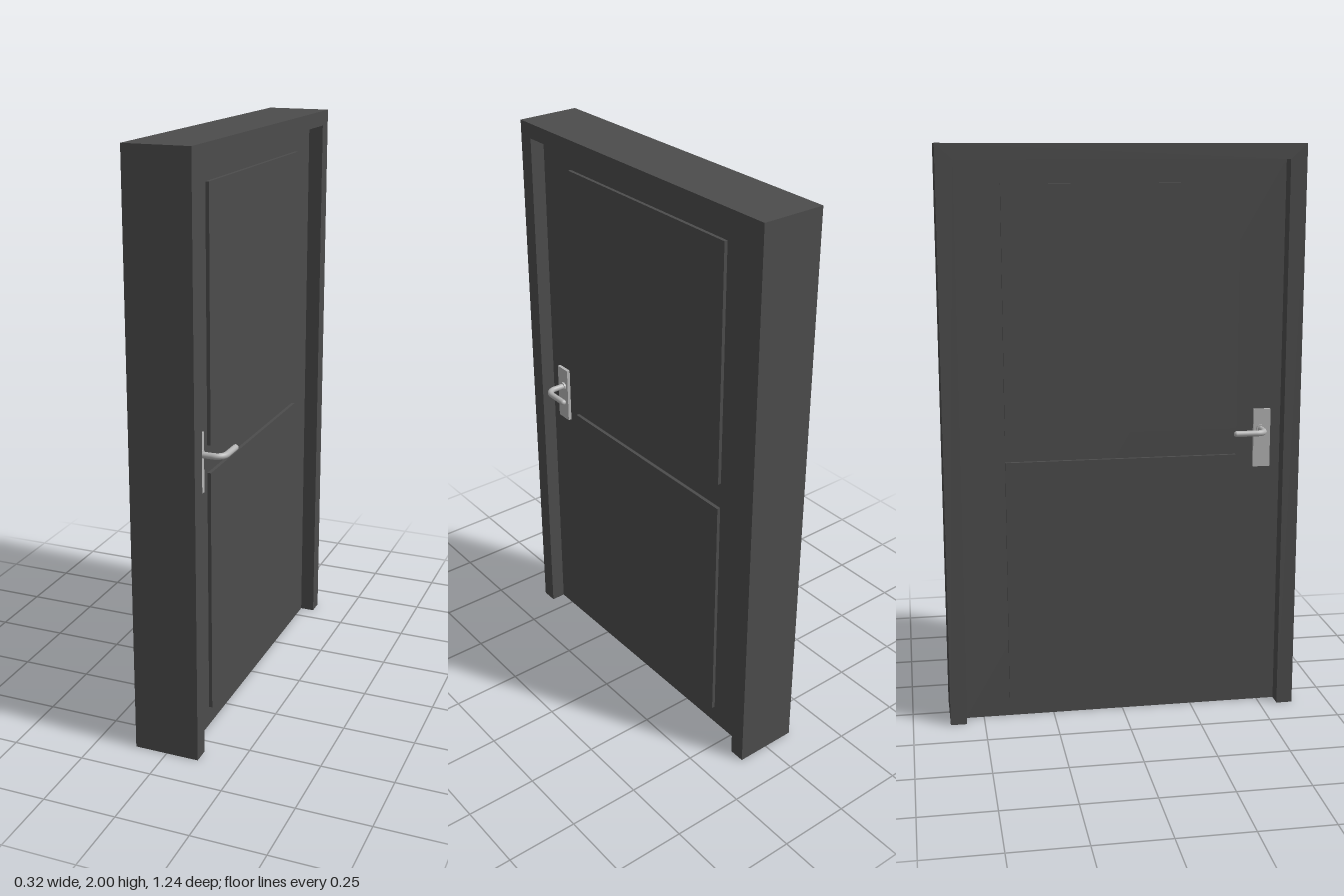
import * as THREE from 'three';

const doorPaint = new THREE.MeshStandardMaterial({ color: 0x4c4c4c });
doorPaint.name = 'dark grey paint';
const metal = new THREE.MeshStandardMaterial({ color: 0xb4b4b4 });
metal.name = 'brushed metal';

const HALF_W = 0.62, DEPTH = 0.225, JAMB = 0.057, HEADER = 0.052;
const FACE = 0.061; // distance of each door face from the centre plane

function add(parent, name, geometry, material, x = 0, y = 0, z = 0) {
  const mesh = new THREE.Mesh(geometry, material);
  mesh.name = name;
  mesh.position.set(x, y, z);
  parent.add(mesh);
  return mesh;
}

// Outline in (z, y) extruded along x, centred on x = 0
function slab(points, depth) {
  const shape = new THREE.Shape(points.map(([z, y]) => new THREE.Vector2(-z, y)));
  const g = new THREE.ExtrudeGeometry(shape, { depth, bevelEnabled: false });
  return g.translate(0, 0, -depth / 2).rotateY(Math.PI / 2);
}

// Lever handle with its plate, built for the +x side
function makeHandle() {
  const handle = new THREE.Group();
  const y = 1.02;
  add(handle, 'handlePlate', new THREE.BoxGeometry(0.012, 0.206, 0.06), metal, 0.006, 0.987, 0.485);
  add(handle, 'handleCollar', new THREE.CylinderGeometry(0.015, 0.015, 0.008, 24).rotateZ(Math.PI / 2),
    metal, 0.015, y, 0.479);

  // Spindle coming out of the plate, bending round into the grip
  const path = new THREE.CurvePath();
  const v = (x, z) => new THREE.Vector3(x, y, z);
  path.add(new THREE.LineCurve3(v(0.008, 0.479), v(0.053, 0.479)));
  path.add(new THREE.CubicBezierCurve3(v(0.053, 0.479), v(0.073, 0.479), v(0.087, 0.465), v(0.087, 0.445)));
  path.add(new THREE.LineCurve3(v(0.087, 0.445), v(0.087, 0.375)));
  add(handle, 'lever', new THREE.TubeGeometry(path, 40, 0.0105, 16), metal);
  add(handle, 'leverTip', new THREE.SphereGeometry(0.0105, 16, 12), metal, 0.087, y, 0.375);
  return handle;
}

export function createModel() {
  const model = new THREE.Group();
  model.name = 'door';

  // Frame: two jambs and a header in one piece
  const inner = HALF_W - JAMB;
  add(model, 'doorFrame', slab([
    [HALF_W, 0], [HALF_W, 2], [-HALF_W, 2], [-HALF_W, 0],
    [-inner, 0], [-inner, 2 - HEADER], [inner, 2 - HEADER], [inner, 0],
  ], DEPTH), doorPaint);

  // Door leaf set back inside the frame
  const leafHeight = 2 - HEADER;
  add(model, 'doorLeaf', new THREE.BoxGeometry(FACE * 2, leafHeight, inner * 2), doorPaint, 0, leafHeight / 2, 0);

  for (const side of [1, -1]) {
    const name = side > 0 ? 'left' : 'right';

    // Raised panels
    for (const [part, low, high] of [['LowerPanel', 0.07, 0.93], ['UpperPanel', 1.025, 1.87]]) {
      add(model, name + part, new THREE.BoxGeometry(0.012, high - low, 0.81), doorPaint,
        side * (FACE + 0.006), (low + high) / 2, -0.003);
    }

    // Handles: the second is turned over so its lever points the same way along z
    const handle = makeHandle();
    handle.name = name + 'Handle';
    if (side < 0) {
      handle.rotation.z = Math.PI;
      handle.position.y = 2.04;
      handle.position.z = 0.01;
      handle.getObjectByName('handlePlate').position.y = 2.04 - 0.987;
    }
    handle.position.x = side * FACE;
    model.add(handle);
  }
  return model;
}
